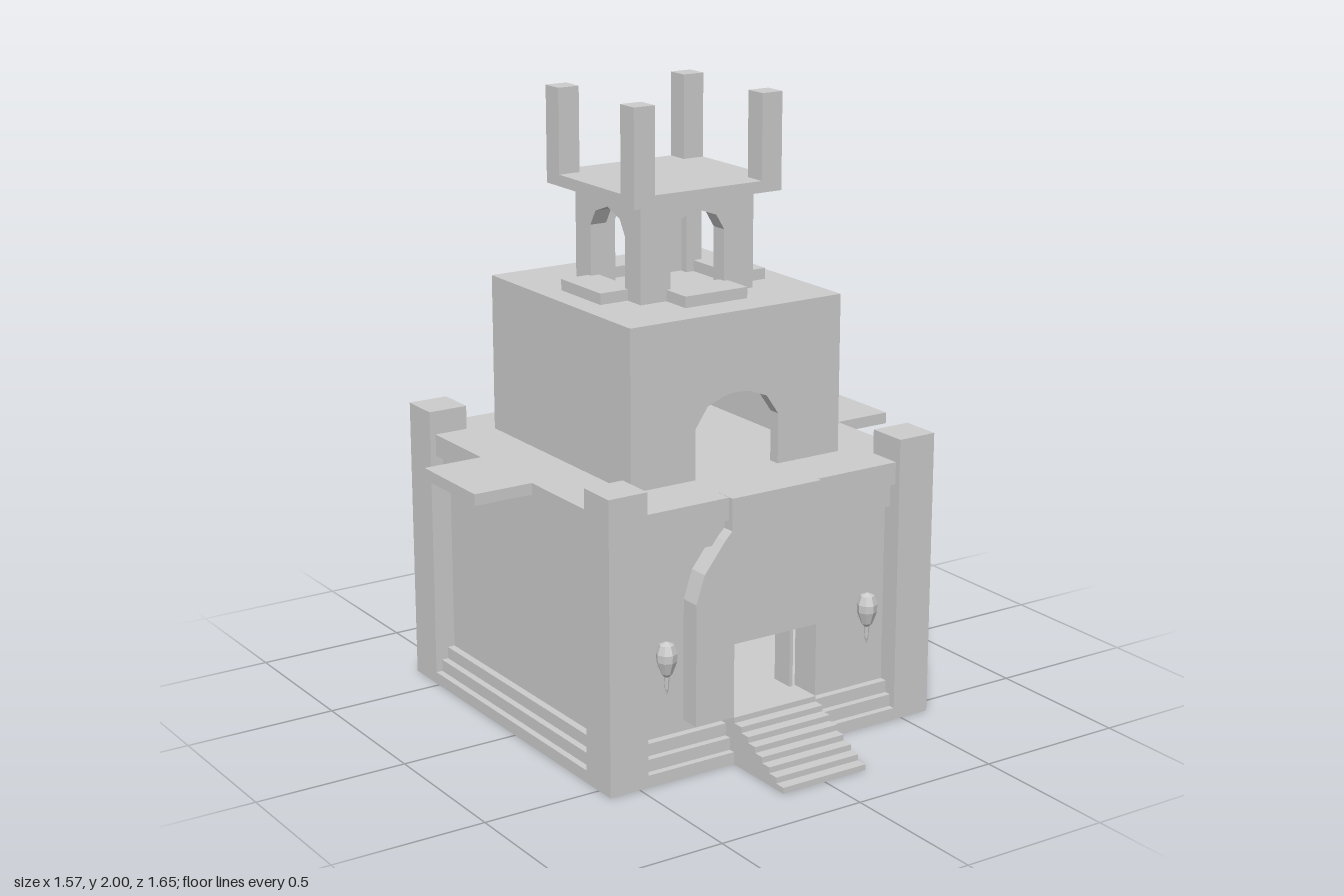
import * as THREE from 'three';

const CZ = -0.0425; // centre of the main block in z

export function createModel() {
  const model = new THREE.Group();
  const material = new THREE.MeshStandardMaterial({ color: 0xcccccc, flatShading: true, side: THREE.DoubleSide });

  const add = (name, geometry, parent = model) => {
    const mesh = new THREE.Mesh(geometry, material);
    mesh.name = name;
    parent.add(mesh);
    return mesh;
  };
  // box given by its limits on each axis
  const box = (name, x0, x1, y0, y1, z0, z1) => {
    const mesh = add(name, new THREE.BoxGeometry(x1 - x0, y1 - y0, z1 - z0));
    mesh.position.set((x0 + x1) / 2, (y0 + y1) / 2, (z0 + z1) / 2);
    return mesh;
  };
  // square tier of the main block, set in from its outline
  const tier = (name, inset, y0, y1) =>
    box(name, -0.605 + inset, 0.605 - inset, y0, y1, -0.65 + inset, 0.565 - inset);
  // outline from its right half, listed from the bottom up, mirrored to the left
  const mirrored = (half) => half.concat(half.filter((p) => p[0] > 0).reverse().map(([x, y]) => [-x, y]));
  const toShape = (points) => new THREE.Shape(points.map(([x, y]) => new THREE.Vector2(x, y)));
  const extrude = (points, depth) => new THREE.ExtrudeGeometry(toShape(points), { depth, bevelEnabled: false });
  // wall with a doorway that is open at the bottom
  const gateOutline = (outer, opening) => [...outer, ...mirrored(opening).reverse()];
  const wallOutline = (w, y0, y1, opening) =>
    gateOutline([[opening[0][0], y0], [w, y0], [w, y1], [-w, y1], [-w, y0]], opening);

  // stepped plinth, hollow hall and cornice
  tier('plinth', 0, 0, 0.04);
  tier('plinthStep', 0.022, 0.04, 0.08);
  tier('plinthStep', 0.045, 0.08, 0.12);
  tier('hallFloor', 0.07, 0.12, 0.155);
  const door = [[0.155, 0.155], [0.155, 0.395]];
  add('hallFrontWall', extrude(wallOutline(0.535, 0.155, 0.71, door), 0.04)).position.z = 0.455;
  box('hallBackWall', -0.535, 0.535, 0.155, 0.71, -0.58, -0.54);
  for (const s of [-1, 1]) {
    box('hallSideWall', s * 0.515 - 0.02, s * 0.515 + 0.02, 0.155, 0.71, -0.54, 0.455);
    box('doorJamb', s * 0.137 - 0.006, s * 0.137 + 0.006, 0.155, 0.395, 0.38, 0.46);
  }
  tier('corniceLower', 0.045, 0.71, 0.79);
  tier('roofSlab', 0.02, 0.79, 0.862);

  // corner posts
  for (const x of [-0.605, 0.47])
    for (const z of [-0.65, 0.43]) box('cornerPost', x, x + 0.135, 0, 0.94, z, z + 0.135);

  // balcony slabs on the sides and the back
  box('leftBalcony', 0.58, 0.785, 0.825, 0.862, -0.22, 0.095);
  box('rightBalcony', -0.785, -0.58, 0.825, 0.862, -0.22, 0.095);
  box('backBalcony', -0.155, 0.155, 0.825, 0.862, -0.825, -0.62);

  // raised entrance front with its curved shoulders
  const shoulders = [[0.295, 0.155], [0.295, 0.55], [0.265, 0.64], [0.19, 0.735], [0.165, 0.76], [0.165, 0.863]];
  const entrance = gateOutline([[0.155, 0.155], ...mirrored(shoulders)], door);
  add('entranceFront', extrude(entrance, 0.073)).position.z = 0.49;

  // solid staircase, built as a stepped side outline
  const steps = 7;
  const stair = [[0.49, 0], [0.825, 0]];
  for (let i = 0; i < steps; i++) {
    const z = 0.825 - i * 0.037;
    stair.push([z, (i + 1) * 0.0195], [z - 0.037, (i + 1) * 0.0195]);
  }
  stair.push([0.566, 0.155], [0.49, 0.155]);
  const stairs = add('stairs', extrude(stair, 0.31));
  stairs.rotation.y = -Math.PI / 2;
  stairs.position.x = 0.155;

  // wall lamps: egg-shaped body with a pointed tail
  const lampProfile = [[0, 0.27], [0.006, 0.29], [0.009, 0.33], [0.018, 0.34], [0.032, 0.38],
    [0.033, 0.405], [0.023, 0.433], [0, 0.443]].map(([r, y]) => new THREE.Vector2(r, y));
  for (const s of [-1, 1]) {
    const lamp = add('wallLamp', new THREE.LatheGeometry(lampProfile, 8));
    lamp.position.set(s * 0.38, 0, 0.53);
    box('lampBracket', s * 0.38 - 0.012, s * 0.38 + 0.012, 0.35, 0.38, 0.49, 0.53);
  }

  // hollow upper storey with an arched opening
  const arch = [[0.155, 0.862], [0.155, 1.025], [0.11, 1.09], [0.045, 1.115], [0, 1.12]];
  add('upperFrontWall', extrude(wallOutline(0.39, 0.862, 1.34, arch), 0.04)).position.z = 0.31;
  box('upperBackWall', -0.39, 0.39, 0.862, 1.34, -0.47, -0.43);
  for (const s of [-1, 1]) {
    box('upperSideWall', s * 0.37 - 0.02, s * 0.37 + 0.02, 0.862, 1.34, -0.43, 0.31);
    box('innerPilaster', s * 0.043 - 0.006, s * 0.043 + 0.006, 0.862, 1.34, -0.43, -0.41);
  }
  box('upperRoof', -0.39, 0.39, 1.34, 1.375, -0.47, 0.35);

  // belfry with an arch on each side
  const bz = -0.0575;
  const bellArch = [[0.1, 1.375], [0.1, 1.575], [0.07, 1.625], [0, 1.65]];
  const belfry = new THREE.Group();
  belfry.name = 'belfry';
  belfry.position.z = bz;
  model.add(belfry);
  for (let i = 0; i < 4; i++) {
    const side = new THREE.Group();
    side.rotation.y = (i * Math.PI) / 2;
    belfry.add(side);
    const along = i % 2 === 0;
    const wall = add('belfryArch', extrude(wallOutline(along ? 0.21 : 0.13, 1.375, 1.69, bellArch), 0.058), side);
    wall.position.z = (along ? 0.1875 : 0.21) - 0.058;
    // low ledge in front of each arch
    const ledge = add('belfryLedge', new THREE.BoxGeometry(0.23, 0.036, 0.13), side);
    ledge.position.set(0, 1.393, (along ? 0.2925 : 0.31) - 0.065);
  }

  // crowning platform with four uprights
  box('topPlatform', -0.272, 0.272, 1.69, 1.727, -0.315, 0.192);
  for (const x of [-0.272, 0.197])
    for (const z of [-0.315, 0.117]) box('topUpright', x, x + 0.075, 1.727, 2, z, z + 0.075);

  return model;
}
